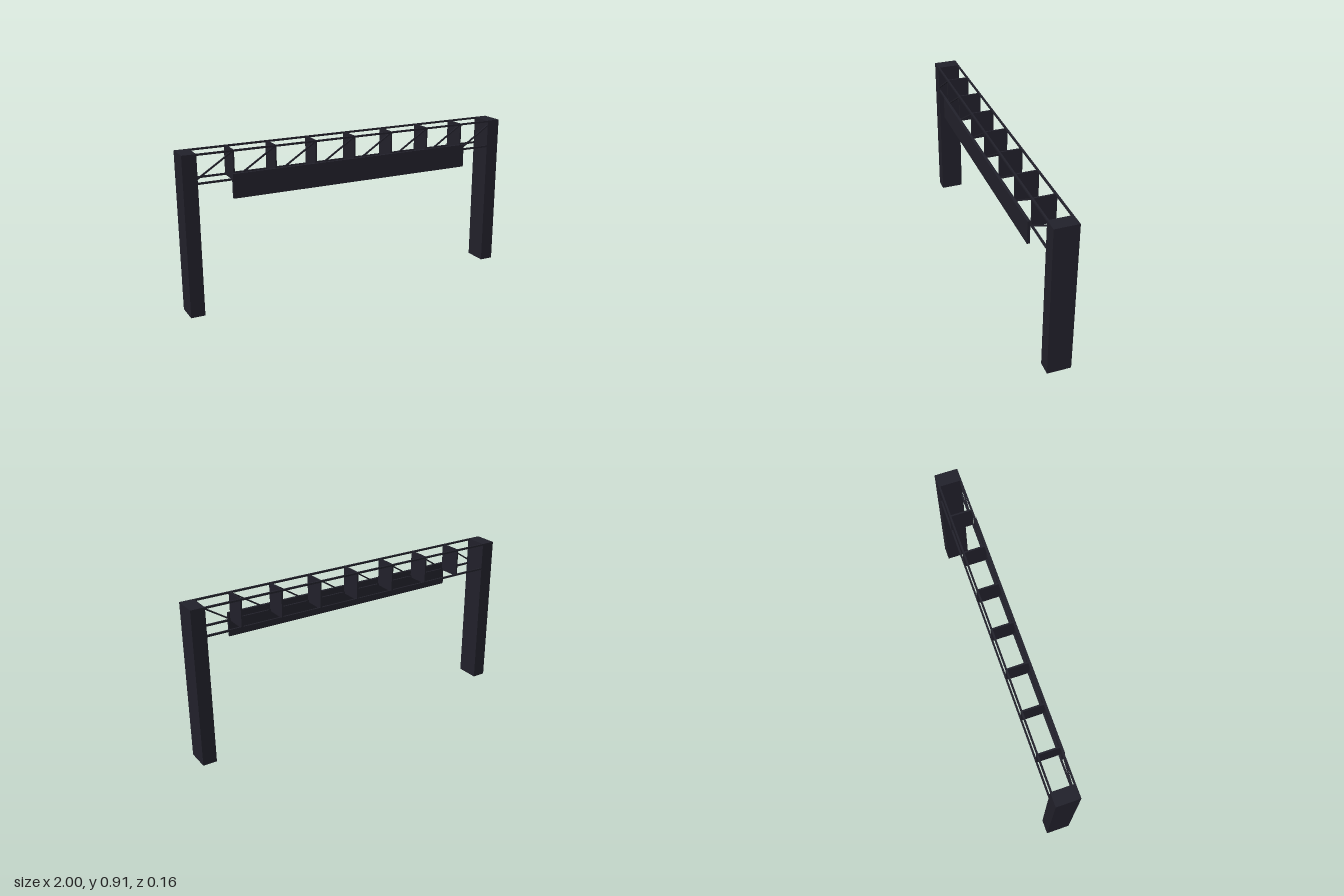
import * as THREE from 'three';

export function createModel() {
  const model = new THREE.Group();
  const steel = new THREE.MeshStandardMaterial({ color: 0x22212b, side: THREE.DoubleSide });
  steel.name = 'dark steel';

  const TOP = 0.905, FRONT = 0.057, BACK = -0.079;
  const MID_Z = (FRONT + BACK) / 2, DEPTH = FRONT - BACK;
  const BAR = 0.01, LOW = 0.745, HIGH = TOP - BAR / 2;

  function add(name, geometry, x, y, z) {
    const mesh = new THREE.Mesh(geometry, steel);
    mesh.name = name;
    mesh.position.set(x, y, z);
    model.add(mesh);
    return mesh;
  }
  const box = (name, w, h, d, x, y, z) => add(name, new THREE.BoxGeometry(w, h, d), x, y, z);

  // Hollow posts, open at the foot
  for (const side of [-1, 1]) {
    const shell = new THREE.BoxGeometry(0.08, TOP, DEPTH);
    const index = Array.from(shell.index.array);
    index.splice(18, 6); // drop the bottom face
    shell.setIndex(index);
    shell.clearGroups();
    add(side > 0 ? 'leftPost' : 'rightPost', shell, side * 0.96, TOP / 2, MID_Z);
  }

  // Four long rails of the truss
  for (const y of [LOW, HIGH]) {
    for (const z of [FRONT - BAR / 2, BACK + BAR / 2]) {
      box('rail', 1.99, BAR, BAR, 0, y, z);
    }
  }

  // Solid cross plates between the bays
  for (let i = -3; i <= 3; i++) {
    box('crossPlate', 0.009, HIGH - LOW + BAR, DEPTH - 0.002, i * 0.24, (LOW + HIGH) / 2, MID_Z);
  }

  // One diagonal brace per bay on the front side
  const rise = HIGH - LOW, run = 0.24;
  for (let i = 0; i < 8; i++) {
    const brace = box('diagonalBrace', Math.hypot(run, rise), 0.008, 0.008,
      -0.84 + i * run, (LOW + HIGH) / 2, FRONT - BAR / 2);
    brace.rotation.z = Math.atan2(rise, run);
  }

  // Long sign board hung in front of the truss
  box('signBoard', 1.466, 0.135, 0.016, -0.002, 0.713, 0.071);

  return model;
}
